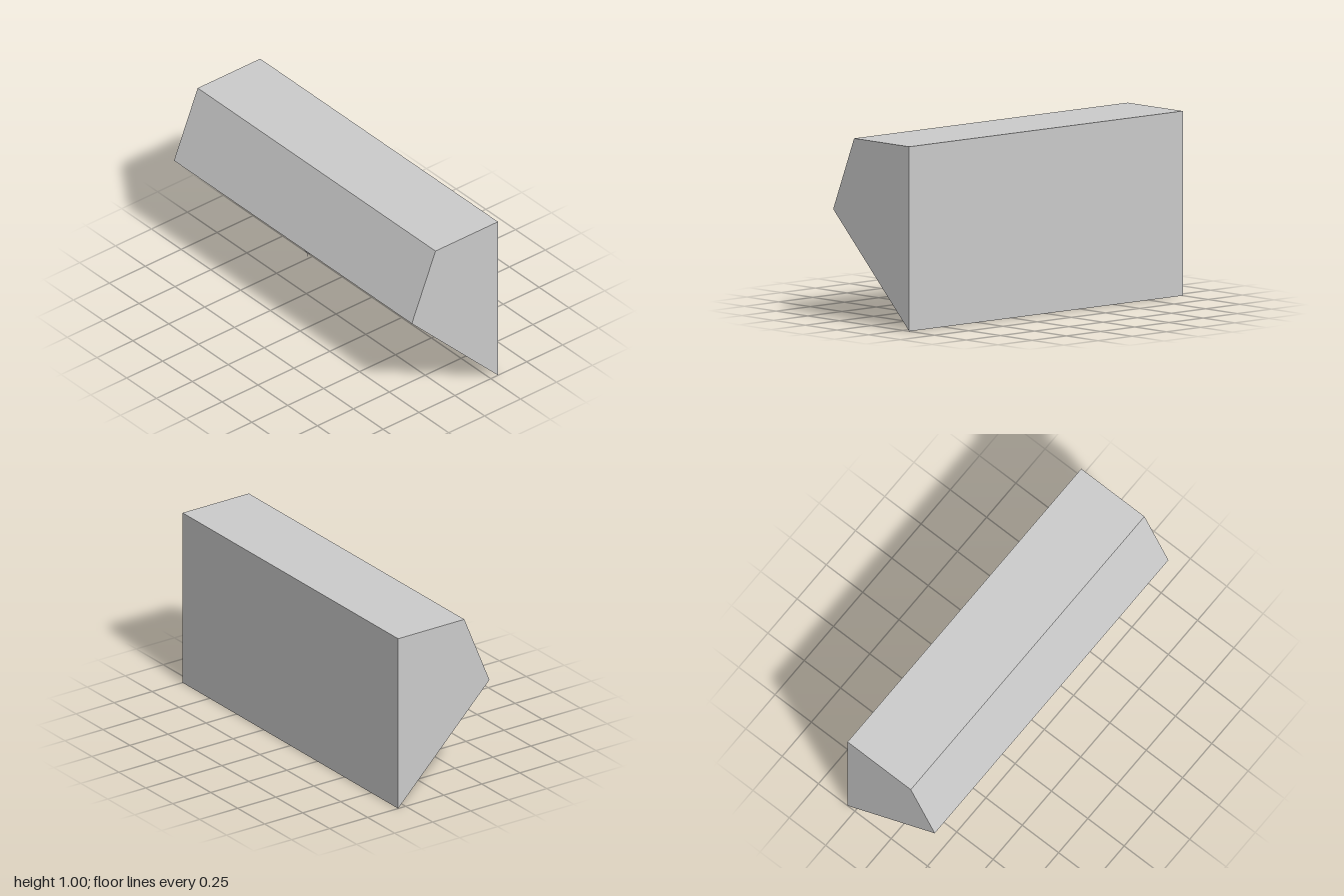
import * as THREE from 'three';

const material = new THREE.MeshStandardMaterial({ color: 0xcccccc, flatShading: true });

// Flat faces, each a convex loop of corners, counter-clockwise from outside
function facesMesh(name, faces) {
  const pos = [];
  for (const f of faces)
    for (let i = 1; i < f.length - 1; i++) pos.push(...f[0], ...f[i], ...f[i + 1]);
  const geo = new THREE.BufferGeometry();
  geo.setAttribute('position', new THREE.Float32BufferAttribute(pos, 3));
  geo.computeVertexNormals();
  const mesh = new THREE.Mesh(geo, material);
  mesh.name = name;
  return mesh;
}

// Point on the 45 degree underside: s is height along it, k the inward step
const onSlope = (x, s, k = 0) => [x, s + k, s - 0.3 - k];
const rect = (x, s0, s1, k) => [onSlope(-x, s0, k), onSlope(x, s0, k), onSlope(x, s1, k), onSlope(-x, s1, k)];
const band = (a, b) => a.map((p, i) => [p, a[(i + 1) % 4], b[(i + 1) % 4], b[i]]);

export function createModel() {
  const model = new THREE.Group();
  model.name = 'wallHood';
  const add = (name, geo, parent, x = 0, y = 0, z = 0) => {
    const mesh = new THREE.Mesh(geo, material);
    mesh.name = name;
    mesh.position.set(x, y, z);
    parent.add(mesh);
    return mesh;
  };

  // Outer casing: side profile as [y, z], swept across x
  const profile = [[0, -0.3], [0.6, 0.3], [1, 0.135], [1, -0.3]];
  const left = profile.map(([y, z]) => [1, y, z]);
  const right = profile.map(([y, z]) => [-1, y, z]);
  const casing = [right, [...left].reverse()];
  for (let i = 1; i < 4; i++) {
    const j = (i + 1) % 4;
    casing.push([right[i], left[i], left[j], right[j]]);
  }
  model.add(facesMesh('casing', casing));

  // Sloping underside: rim, recess walls and recess floor
  const outer = rect(1, 0, 0.6, 0);
  const opening = rect(0.9, 0.075, 0.53, 0);
  const floor = rect(0.9, 0.075, 0.53, 0.055);
  model.add(facesMesh('undersideRim', band(outer, opening)));
  model.add(facesMesh('recess', [...band(opening, floor), floor]));

  // Three ribs lying in the recess, slightly below the rim
  for (const x of [-0.5, 0, 0.5]) {
    const geo = new THREE.BoxGeometry(0.115, 0.455 * Math.SQRT2, 0.035 * Math.SQRT2);
    const rib = add('rib', geo, model, ...onSlope(x, 0.3025, 0.0375));
    rib.rotation.x = Math.PI / 4;
  }

  // Tiny hanging fitting on the middle rib
  const fitting = new THREE.Group();
  fitting.name = 'hangingFitting';
  fitting.position.set(0, 0.49, 0.2);
  model.add(fitting);
  add('stem', new THREE.CylinderGeometry(0.002, 0.002, 0.065, 6), fitting, 0, 0.0075, 0);
  add('mount', new THREE.CylinderGeometry(0.009, 0.009, 0.006, 8), fitting, 0, 0.039, 0);
  add('hub', new THREE.SphereGeometry(0.006, 8, 6), fitting);
  const arm = add('crossArm', new THREE.CylinderGeometry(0.002, 0.002, 0.045, 6), fitting);
  arm.rotation.z = Math.PI / 2;

  return model;
}
